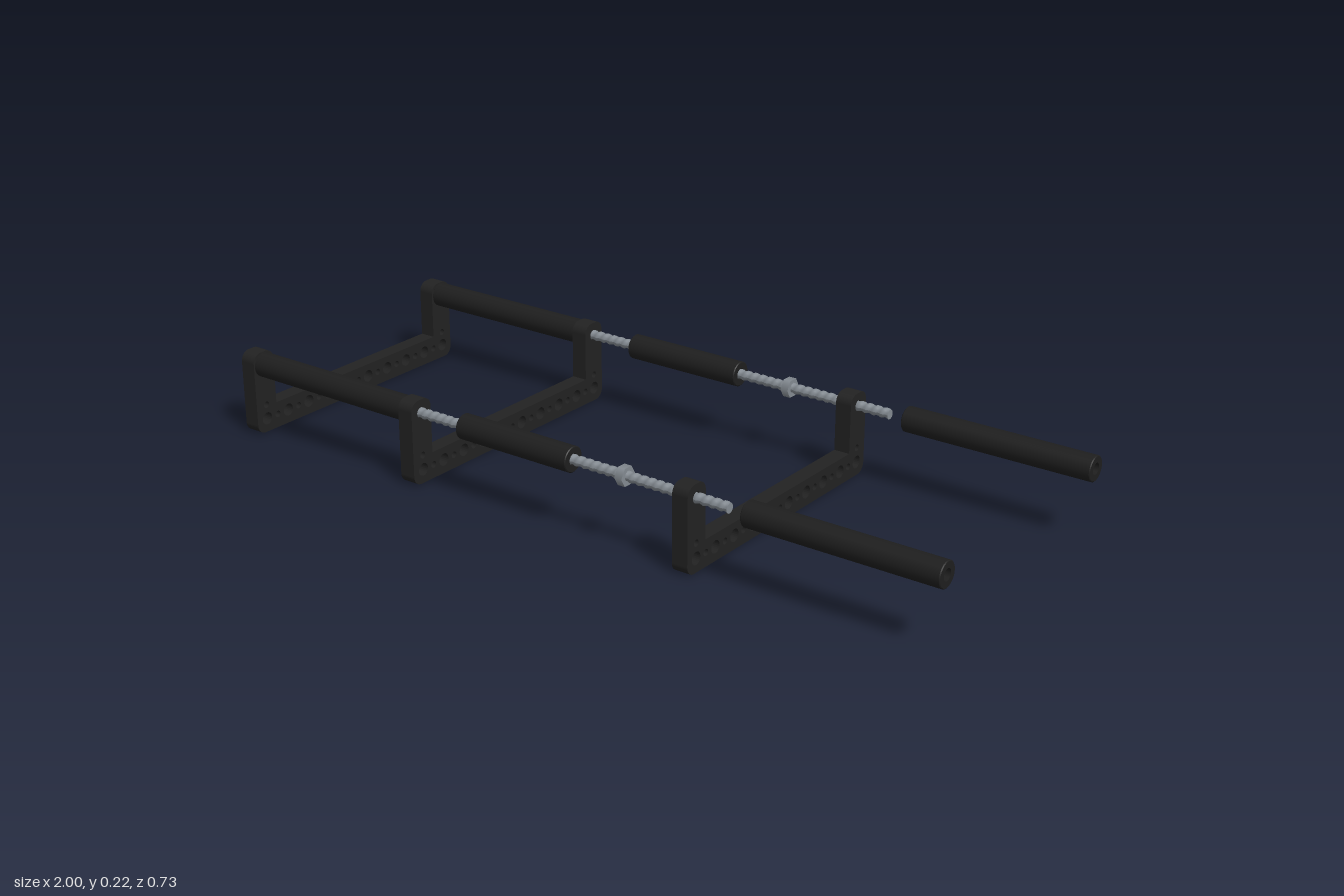
import * as THREE from 'three';

const AXIS_Y = 0.182, AXIS_Z = 0.33;   // rod centre line
const HALF = 0.363, TOP = 0.215, ARM = 0.067, PLATE = 0.042;

const black = new THREE.MeshStandardMaterial({ name: 'blackPlate', color: 0x222222 });
const foam = new THREE.MeshStandardMaterial({ name: 'blackGrip', color: 0x1e1e1e });
const steel = new THREE.MeshStandardMaterial({ name: 'steel', color: 0x848b92 });

function circleHole(x, y, r) {
  const p = new THREE.Path();
  p.absarc(x, y, r, 0, Math.PI * 2, true);
  return p;
}

// U-shaped plate with rounded outer corners and a row of holes
function bracketGeometry() {
  const r = 0.025, inner = HALF - ARM;
  const s = new THREE.Shape();
  s.moveTo(-HALF + r, 0);
  s.lineTo(HALF - r, 0);
  s.absarc(HALF - r, r, r, -Math.PI / 2, 0, false);
  s.absarc(HALF - r, TOP - r, r, 0, Math.PI / 2, false);
  s.absarc(inner + r, TOP - r, r, Math.PI / 2, Math.PI, false);
  s.lineTo(inner, 0.068);
  s.lineTo(-inner, 0.068);
  s.absarc(-inner - r, TOP - r, r, 0, Math.PI / 2, false);
  s.absarc(-HALF + r, TOP - r, r, Math.PI / 2, Math.PI, false);
  s.absarc(-HALF + r, r, r, Math.PI, Math.PI * 1.5, false);

  // alternating large and small holes along the bar
  const step = AXIS_Z * 2 / 18;
  for (let i = 0; i <= 18; i++) {
    s.holes.push(circleHole(-AXIS_Z + i * step, 0.035, i % 2 ? 0.0085 : 0.016));
  }
  // pin hole and rod hole in each arm
  for (const side of [-1, 1]) {
    s.holes.push(circleHole(side * AXIS_Z, 0.072, 0.0085));
    s.holes.push(circleHole(side * AXIS_Z, AXIS_Y, 0.0135));
  }
  const g = new THREE.ExtrudeGeometry(s, { depth: PLATE, bevelEnabled: false, curveSegments: 12 });
  return g.rotateY(Math.PI / 2);
}

// Hollow foam sleeve along x
function gripGeometry(x0, x1) {
  const R = 0.0315, bore = 0.0145, b = 0.002;
  const profile = [
    [bore, x0], [R - b, x0], [R - b, x0], [R, x0 + b], [R, x0 + b],
    [R, x1 - b], [R, x1 - b], [R - b, x1], [R - b, x1], [bore, x1],
    [bore, x1], [bore, x0]
  ].map(([r, x]) => new THREE.Vector2(r, x));
  return new THREE.LatheGeometry(profile, 32).rotateZ(-Math.PI / 2);
}

// Rod whose radius follows a helix to form the thread
function rodGeometry(x0, x1) {
  const pitch = 0.022, len = x1 - x0;
  const g = new THREE.CylinderGeometry(1, 1, len, 14, Math.round(len / pitch * 8));
  const p = g.attributes.position;
  for (let i = 0; i < p.count; i++) {
    const x = p.getX(i), y = p.getY(i), z = p.getZ(i);
    if (Math.hypot(x, z) < 0.5) continue;
    const r = 0.0122 + 0.0014 * Math.sin(Math.PI * 2 * y / pitch - Math.atan2(z, x));
    p.setXYZ(i, x * r, y, z * r);
  }
  g.computeVertexNormals();
  return g.rotateZ(-Math.PI / 2).translate((x0 + x1) / 2, 0, 0);
}

export function createModel() {
  const model = new THREE.Group();
  model.name = 'adjustableBarFrame';

  const add = (parent, name, geometry, material) => {
    const m = new THREE.Mesh(geometry, material);
    m.name = name;
    parent.add(m);
    return m;
  };

  // Three cross brackets
  const plate = bracketGeometry();
  [['endBracket', -1], ['middleBracket', -0.47], ['slidingBracket', 0.335]].forEach(([name, x]) => {
    add(model, name, plate, black).position.x = x;
  });

  // Shared rail parts
  const rod = rodGeometry(-1, 0.465);
  const nut = new THREE.CylinderGeometry(0.025, 0.025, 0.02, 6).rotateZ(Math.PI / 2);
  const grips = [
    ['longGrip', gripGeometry(-1 + PLATE, -0.47)],
    ['middleGrip', gripGeometry(-0.292, 0.035)],
    ['endGrip', gripGeometry(0.512, 1)]
  ];

  // One rail on each side
  for (const side of [1, -1]) {
    const rail = new THREE.Group();
    rail.name = side > 0 ? 'frontRail' : 'backRail';
    rail.position.set(0, AXIS_Y, side * AXIS_Z);
    add(rail, 'threadedRod', rod, steel);
    add(rail, 'hexNut', nut, steel).position.x = 0.18;
    for (const [name, g] of grips) add(rail, name, g, foam);
    model.add(rail);
  }
  return model;
}
